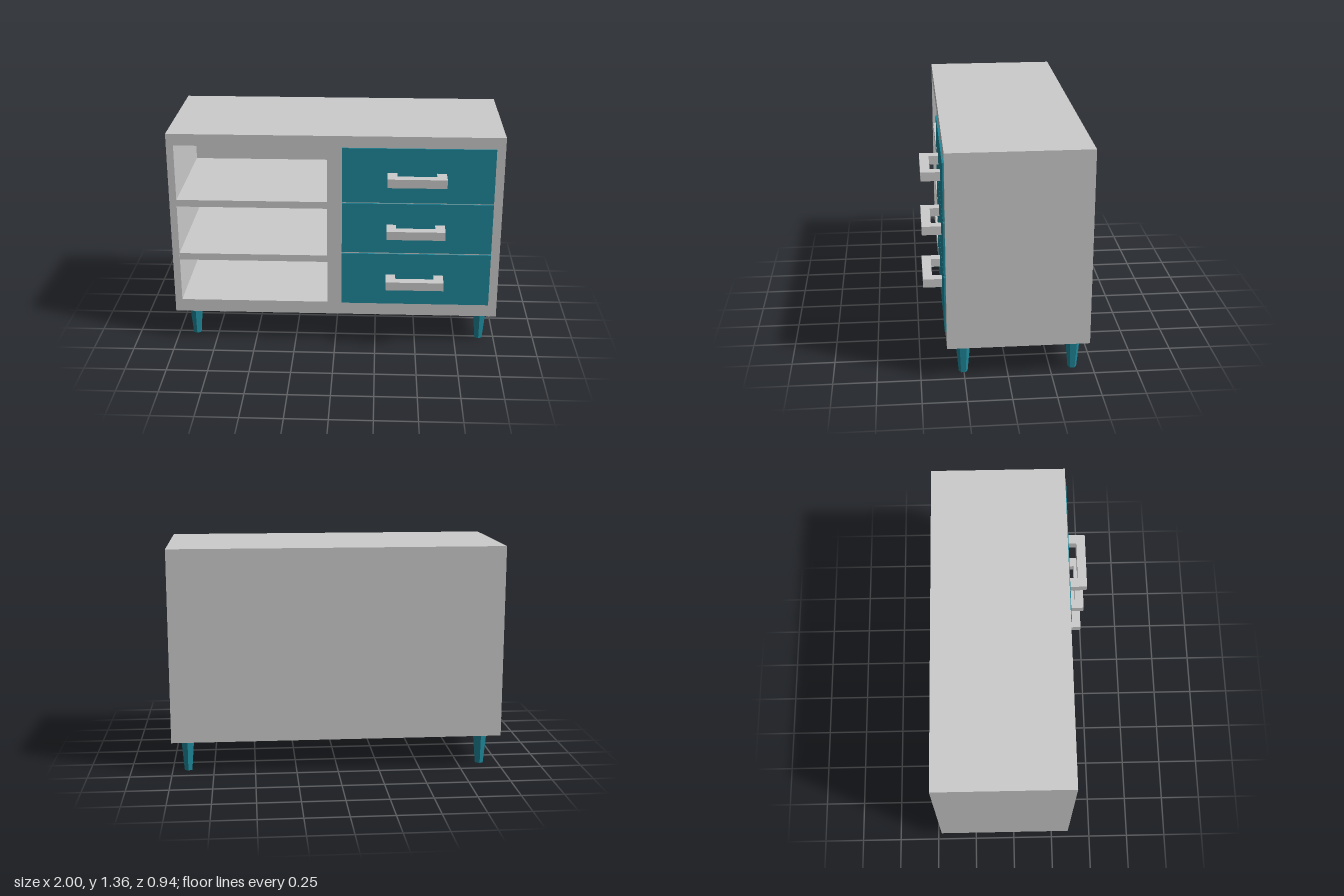
import * as THREE from 'three';

const grey = new THREE.MeshStandardMaterial({ color: 0xcccccc, flatShading: true });
const teal = new THREE.MeshStandardMaterial({ color: 0x1f8a9c, flatShading: true });

const FRONT = 0.349, BACK = -0.468, BOTTOM = 0.194, TOP = 1.357;
const INNER_BACK = BACK + 0.045;

// Rectangle outline, used for both shapes and holes
function rect(path, x0, y0, x1, y1) {
  path.moveTo(x0, y0);
  path.lineTo(x1, y0);
  path.lineTo(x1, y1);
  path.lineTo(x0, y1);
  path.closePath();
  return path;
}

// Box given by its two opposite corners
function box(name, material, [x0, y0, z0], [x1, y1, z1]) {
  const mesh = new THREE.Mesh(new THREE.BoxGeometry(x1 - x0, y1 - y0, z1 - z0), material);
  mesh.position.set((x0 + x1) / 2, (y0 + y1) / 2, (z0 + z1) / 2);
  mesh.name = name;
  return mesh;
}

// U-shaped pull, drawn in plan and extruded upward
function makeHandle(y0, y1) {
  const plan = new THREE.Shape();
  const points = [[0.31, 0.357], [0.31, 0.47], [0.66, 0.47], [0.66, 0.357],
    [0.602, 0.357], [0.602, 0.415], [0.368, 0.415], [0.368, 0.357]];
  plan.setFromPoints(points.map(([x, z]) => new THREE.Vector2(x, -z)));
  const geometry = new THREE.ExtrudeGeometry(plan, { depth: y1 - y0, bevelEnabled: false });
  geometry.rotateX(-Math.PI / 2).translate(0, y0, 0);
  const mesh = new THREE.Mesh(geometry, grey);
  mesh.name = 'handle';
  return mesh;
}

export function createModel() {
  const model = new THREE.Group();
  model.name = 'sideboard';

  // Cabinet shell with an open compartment on one side
  const outline = rect(new THREE.Shape(), -1, BOTTOM, 1, TOP);
  outline.holes.push(rect(new THREE.Path(), -0.957, 0.275, -0.048, 1.286));
  const shellGeometry = new THREE.ExtrudeGeometry(outline, { depth: FRONT - BACK, bevelEnabled: false });
  const shell = new THREE.Mesh(shellGeometry.translate(0, 0, BACK), grey);
  shell.name = 'cabinetShell';
  model.add(shell);

  // Back panel closing the compartment
  model.add(box('backPanel', grey, [-0.957, 0.275, BACK], [-0.048, 1.286, INNER_BACK]));

  // Shelves
  for (const [y0, y1] of [[0.546, 0.589], [0.897, 0.94]]) {
    model.add(box('shelf', grey, [-0.957, y0, INNER_BACK], [-0.048, y1, FRONT - 0.003]));
  }

  // Drawer fronts, each with its handle
  const drawers = [
    [0.275, 0.611, 0.421, 0.473],
    [0.62, 0.939, 0.753, 0.805],
    [0.946, 1.286, 1.082, 1.135],
  ];
  for (const [y0, y1, h0, h1] of drawers) {
    const drawer = new THREE.Group();
    drawer.name = 'drawer';
    drawer.add(box('drawerFront', teal, [0.041, y0, FRONT - 0.02], [0.947, y1, 0.358]));
    drawer.add(makeHandle(h0, h1));
    model.add(drawer);
  }

  // Tapered six-sided legs
  const legGeometry = new THREE.CylinderGeometry(0.0435, 0.026, BOTTOM, 6);
  for (const x of [-0.888, 0.906]) {
    for (const z of [0.254, -0.382]) {
      const leg = new THREE.Mesh(legGeometry, teal);
      leg.position.set(x, BOTTOM / 2, z);
      leg.name = z > 0 ? 'frontLeg' : 'backLeg';
      model.add(leg);
    }
  }

  return model;
}
